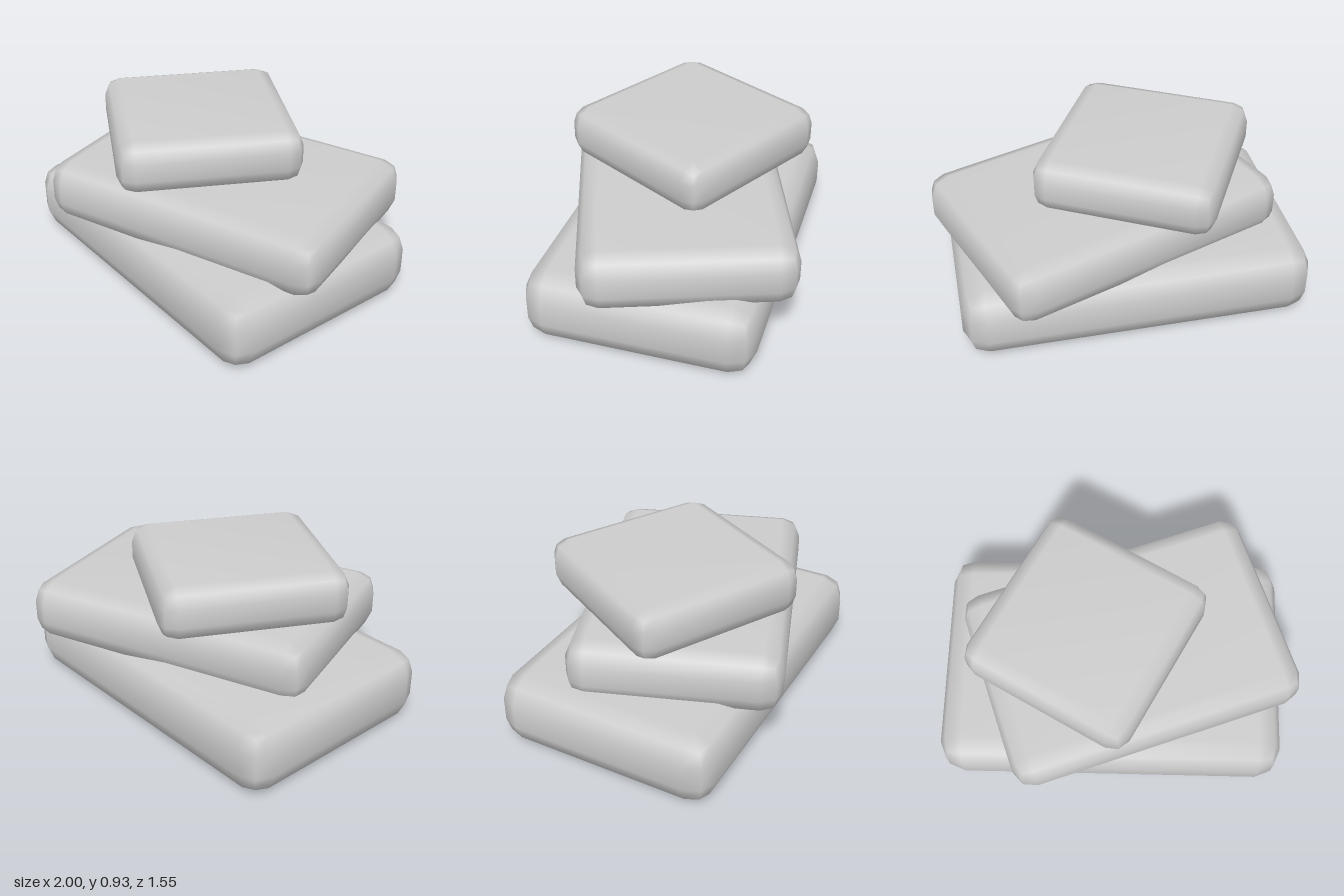
import * as THREE from 'three';
import { RoundedBoxGeometry } from 'three/addons/geometries/RoundedBoxGeometry.js';
import { mergeVertices } from 'three/addons/utils/BufferGeometryUtils.js';

const stone = new THREE.MeshStandardMaterial({ color: 0xcccccc });
stone.name = 'pale grey stone';

// A slab with a two-step bevel and soft normals shared across its edges
function slab(name, [width, height, depth], radius, [x, bottom, z], turn) {
  let geometry = new RoundedBoxGeometry(width, height, depth, 1, radius);
  geometry.deleteAttribute('normal');
  geometry.deleteAttribute('uv');
  geometry = mergeVertices(geometry, 1e-4);
  geometry.computeVertexNormals();
  const mesh = new THREE.Mesh(geometry, stone);
  mesh.name = name;
  mesh.position.set(x, bottom + height / 2, z);
  mesh.rotation.y = turn;
  return mesh;
}

export function createModel() {
  const group = new THREE.Group();
  group.name = 'stackedSlabs';
  // Three slabs, each smaller and turned against the one below, slightly sunk in
  group.add(
    slab('bottomSlab', [1.925, 0.4, 1.255], 0.13, [-0.0375, 0, 0], 0),
    slab('middleSlab', [1.66, 0.33, 1.125], 0.11, [0.065, 0.336, -0.003], 0.35),
    slab('topSlab', [0.99, 0.29, 1.0], 0.095, [-0.17, 0.64, -0.002], -0.5),
  );
  return group;
}
